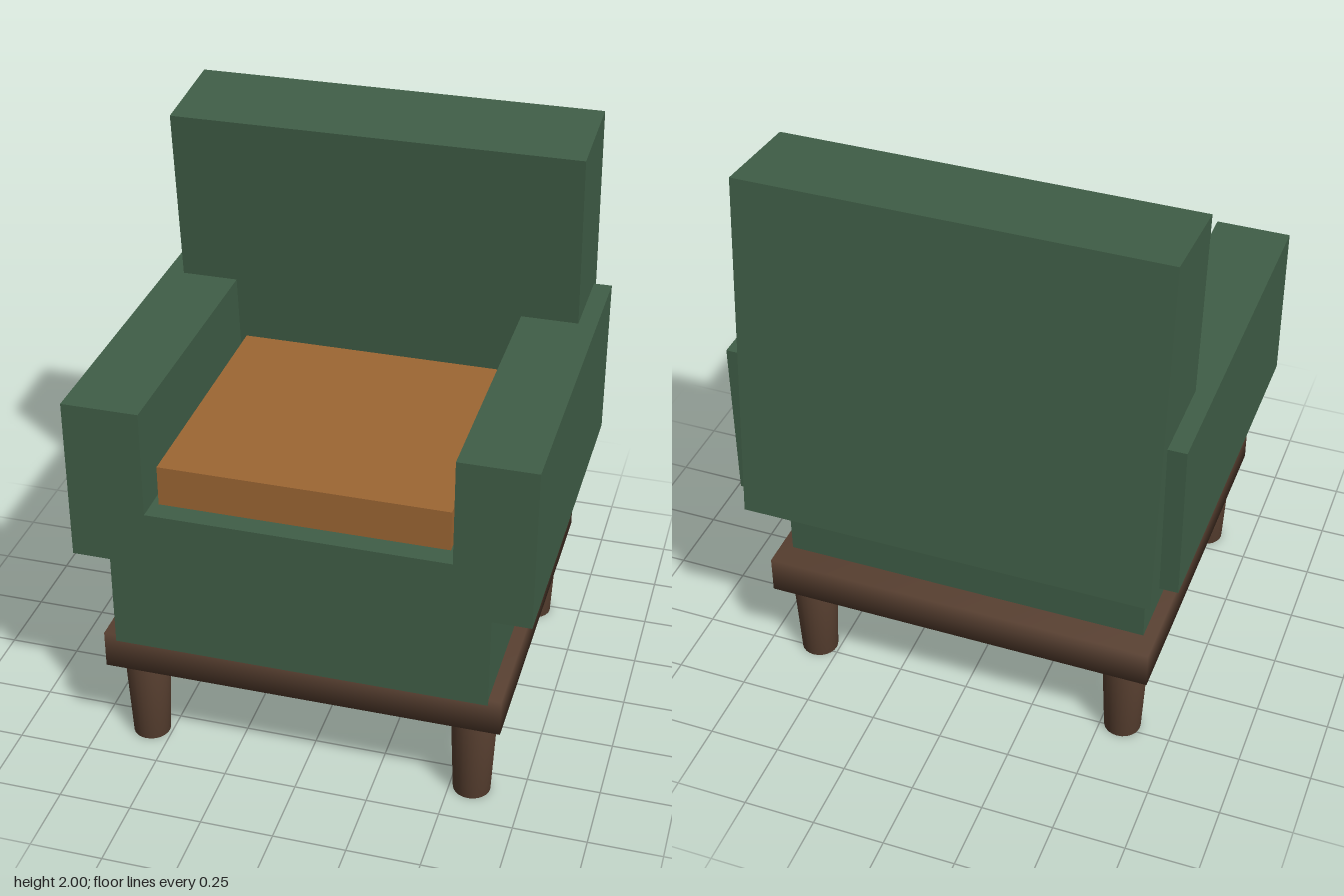
import * as THREE from 'three';
import { mergeVertices } from 'three/addons/utils/BufferGeometryUtils.js';

const material = (name, color) => {
  const m = new THREE.MeshStandardMaterial({ color });
  m.name = name;
  return m;
};

// Share corners so the shading runs smoothly over the edges
function smooth(geometry) {
  geometry.deleteAttribute('normal');
  geometry.deleteAttribute('uv');
  const merged = mergeVertices(geometry);
  merged.clearGroups();
  merged.computeVertexNormals();
  return merged;
}

// Box geometry given by its extents on each axis
function extents([x0, x1], [y0, y1], [z0, z1]) {
  return new THREE.BoxGeometry(x1 - x0, y1 - y0, z1 - z0)
    .translate((x0 + x1) / 2, (y0 + y1) / 2, (z0 + z1) / 2);
}

export function createModel() {
  const green = material('green upholstery', 0x405e47);
  const orange = material('orange cushion', 0x9c6633);
  const brown = material('dark wood', 0x563e2f);

  const chair = new THREE.Group();
  chair.name = 'armchair';
  const add = (name, geometry, mat) => {
    const mesh = new THREE.Mesh(geometry, mat);
    mesh.name = name;
    chair.add(mesh);
    return mesh;
  };

  // Wooden frame and upholstered seat block
  add('frame', smooth(extents([-0.683, 0.683], [0.333, 0.467], [-0.588, 0.691])), brown);
  add('seatBase', extents([-0.64, 0.64], [0.445, 0.975], [-0.5, 0.693]), green);
  add('seatCushion', extents([-0.487, 0.487], [0.97, 1.117], [-0.35, 0.62]), orange);

  // Backrest, tilted
  const back = add('backrest', new THREE.BoxGeometry(1.414, 1.231, 0.354), green);
  back.position.set(0, 1.371, -0.454);
  back.rotation.x = 0.096;

  // Arms and tapered legs, mirrored
  for (const [side, s] of [['left', 1], ['right', -1]]) {
    const arm = add(side + 'Arm', new THREE.BoxGeometry(0.26, 0.57, 1.281), green);
    arm.position.set(s * 0.64, 1.064, 0.0525);

    for (const [end, z] of [['Front', 0.583], ['Back', -0.475]]) {
      const leg = add(side + end + 'Leg', smooth(new THREE.CylinderGeometry(0.079, 0.064, 0.335, 24)), brown);
      leg.position.set(s * 0.575, 0.1675, z);
    }
  }
  return chair;
}
